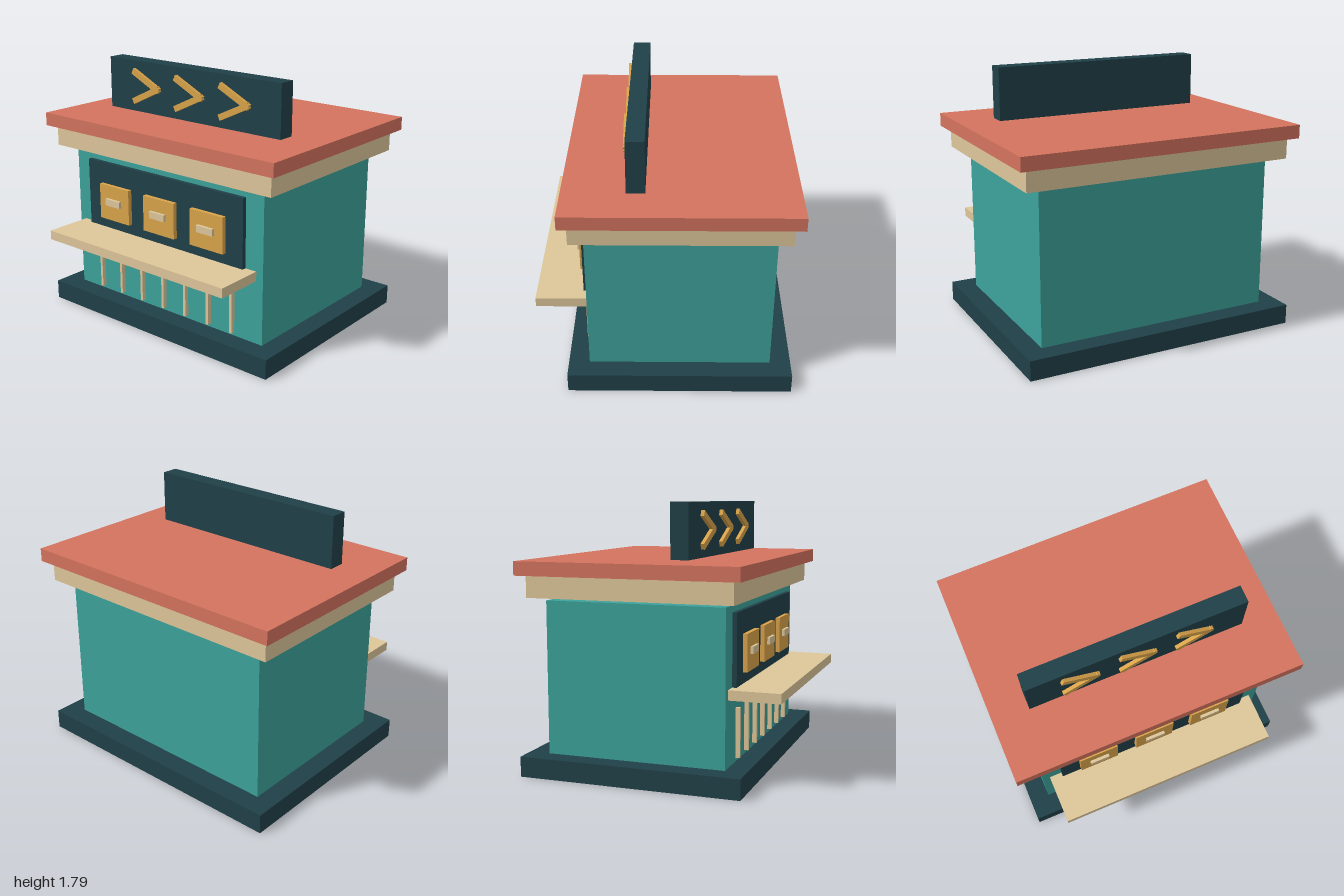
import * as THREE from 'three';

const paint = (color) => new THREE.MeshStandardMaterial({ color, flatShading: true });

export function createModel() {
  const model = new THREE.Group();
  model.name = 'marketKiosk';
  const dark = paint(0x204048), teal = paint(0x3da29b), cream = paint(0xdec79b);
  const coral = paint(0xd4735e), gold = paint(0xd9a34a);

  // Box given by its extents along each axis
  function block(name, material, [x0, x1], [y0, y1], [z0, z1], parent = model) {
    const mesh = new THREE.Mesh(new THREE.BoxGeometry(x1 - x0, y1 - y0, z1 - z0), material);
    mesh.position.set((x0 + x1) / 2, (y0 + y1) / 2, (z0 + z1) / 2);
    mesh.name = name;
    parent.add(mesh);
    return mesh;
  }
  const around = (centre, width) => [centre - width / 2, centre + width / 2];

  // Building
  block('base', dark, [-0.97, 0.97], [0, 0.135], [-0.85, 0.65]);
  block('walls', teal, [-0.833, 0.833], [0.135, 1.155], [-0.71, 0.51]);
  block('cornice', cream, [-0.945, 0.945], [1.18, 1.325], [-0.793, 0.595]);
  block('roof', coral, [-1, 1], [1.325, 1.417], [-0.85, 0.65]);

  // Serving front
  block('servingPanel', dark, [-0.693, 0.693], [0.635, 1.11], [0.51, 0.54]);
  block('counter', cream, [-0.78, 0.78], [0.57, 0.635], [0.51, 0.85]);

  // Display boxes with labels
  for (let i = -1; i <= 1; i++) {
    const x = i * 0.417 - 0.002;
    const display = new THREE.Group();
    display.name = 'displayBox';
    model.add(display);
    block('displayFace', gold, around(x, 0.277), [0.71, 0.96], [0.54, 0.57], display);
    block('displayLabel', cream, around(x, 0.135), [0.82, 0.868], [0.57, 0.59], display);
  }

  // Slats below the counter
  for (let i = -3; i <= 3; i++) {
    block('slat', cream, around(i * 0.2 - 0.004, 0.02), [0.16, 0.49], [0.51, 0.54]);
  }

  // Roof sign with three arrows, each made of two crossed bars
  block('signBoard', dark, [-0.75, 0.75], [1.43, 1.79], [0.12, 0.24]);
  for (let i = -1; i <= 1; i++) {
    const arrow = new THREE.Group();
    arrow.name = 'signArrow';
    arrow.position.set(i * 0.39 - 0.003, 1.61, 0);
    for (const side of [1, -1]) {
      const bar = block('arrowBar', gold, around(0, 0.266), around(side * 0.05, 0.042), [0.238, 0.265], arrow);
      bar.rotation.z = -side * 0.447;
    }
    model.add(arrow);
  }
  return model;
}
